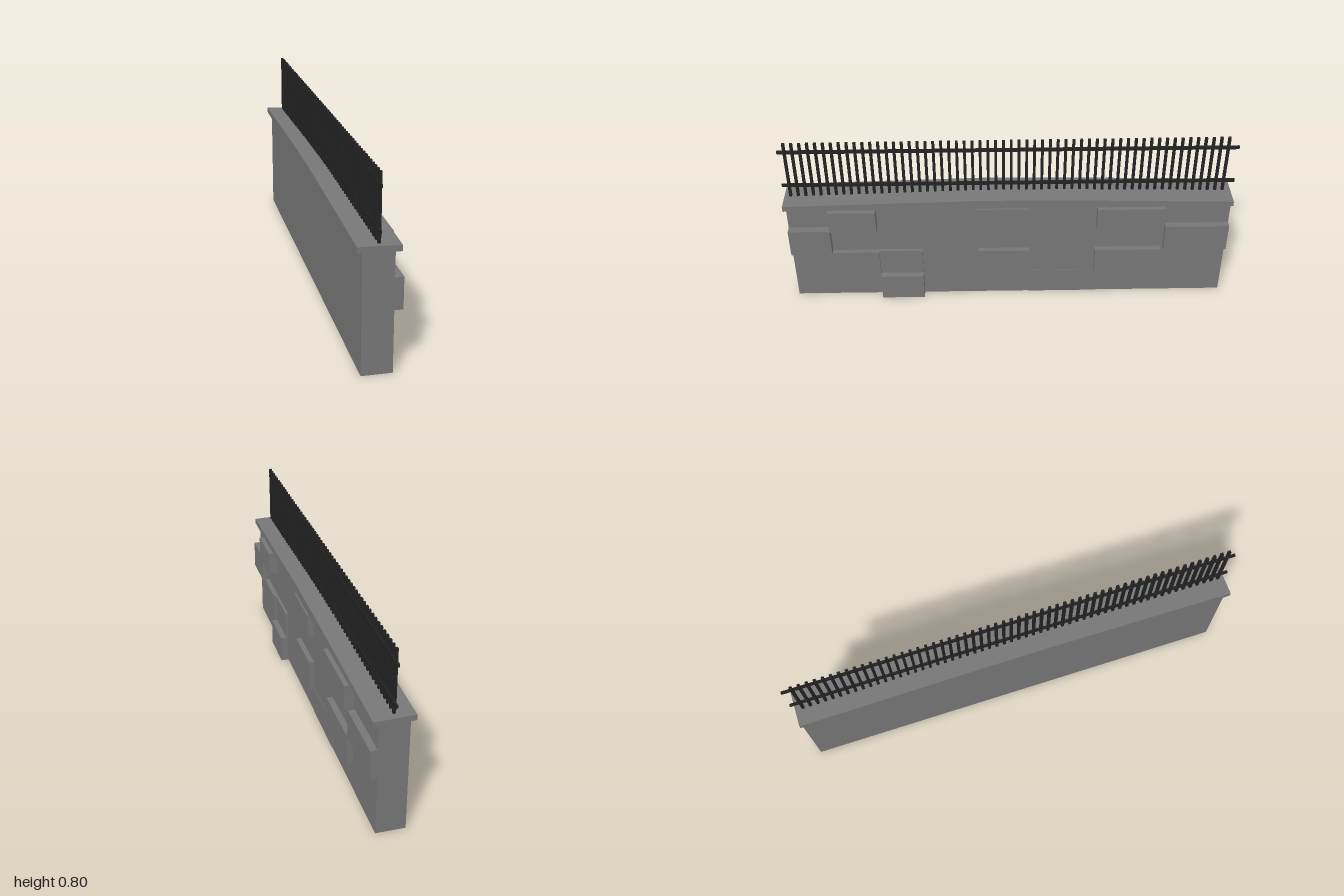
import * as THREE from 'three';

const stone = new THREE.MeshStandardMaterial({ color: 0x777777, flatShading: true });
const iron = new THREE.MeshStandardMaterial({ color: 0x222222, flatShading: true });

// Box given by its limits on each axis
function box(name, material, [x0, x1], [y0, y1], [z0, z1]) {
  const mesh = new THREE.Mesh(new THREE.BoxGeometry(x1 - x0, y1 - y0, z1 - z0), material);
  mesh.position.set((x0 + x1) / 2, (y0 + y1) / 2, (z0 + z1) / 2);
  mesh.name = name;
  return mesh;
}

function createCoping() {
  // Long side profile (z, y), gently raised in the middle
  const profile = new THREE.Shape([
    [-0.99, 0.5], [0.995, 0.5], [0.995, 0.525], [0.5, 0.537],
    [0.12, 0.546], [-0.25, 0.543], [-0.6, 0.534], [-0.99, 0.524],
  ].map(([z, y]) => new THREE.Vector2(z, y)));
  const geometry = new THREE.ExtrudeGeometry(profile, { depth: 0.17, bevelEnabled: false });
  geometry.rotateY(-Math.PI / 2);
  geometry.translate(0.073, 0, 0);
  // Slight fall towards the stone-faced side
  const p = geometry.attributes.position;
  for (let i = 0; i < p.count; i++) {
    p.setY(i, p.getY(i) - 0.025 * (p.getX(i) + 0.012));
  }
  geometry.computeVertexNormals();
  const mesh = new THREE.Mesh(geometry, stone);
  mesh.name = 'coping';
  return mesh;
}

function createStones() {
  const group = new THREE.Group();
  group.name = 'projectingStones';
  const courses = [[0, 0.127], [0.13, 0.26], [0.26, 0.392], [0.392, 0.5]];
  // course, z from, z to, face x
  const stones = [
    [0, 0.395, 0.59, 0.087], [0, -0.39, -0.09, 0.052],
    [1, 0.59, 0.8, 0.073], [1, 0.395, 0.59, 0.062],
    [1, -0.09, 0.14, 0.073], [1, -0.69, -0.39, 0.077],
    [2, 0.8, 0.985, 0.085], [2, -0.985, -0.7, 0.08],
    [3, 0.59, 0.8, 0.095], [3, -0.09, 0.14, 0.08], [3, -0.69, -0.39, 0.092],
  ];
  for (const [course, z0, z1, face] of stones) {
    group.add(box('stone', stone, [0.04, face], courses[course], [z0, z1]));
  }
  return group;
}

function createFence() {
  const group = new THREE.Group();
  group.name = 'fence';
  for (const y of [0.58, 0.753]) {
    group.add(box('rail', iron, [-0.017, -0.007], [y - 0.007, y + 0.007], [-1, 1]));
  }
  // Row of upright bars, turned very slightly against the rails
  const count = 58;
  for (let i = 0; i < count; i++) {
    const z = 0.967 - (1.921 * i) / (count - 1);
    const x = -0.0135 + 0.0055 * z;
    group.add(box('picket', iron, [x - 0.006, x + 0.006], [0.525, 0.8], [z - 0.006, z + 0.006]));
  }
  return group;
}

export function createModel() {
  const model = new THREE.Group();
  model.name = 'wallWithFence';
  model.add(
    box('wall', stone, [-0.075, 0.05], [0, 0.502], [-0.985, 0.985]),
    createStones(),
    createCoping(),
    createFence(),
  );
  return model;
}
